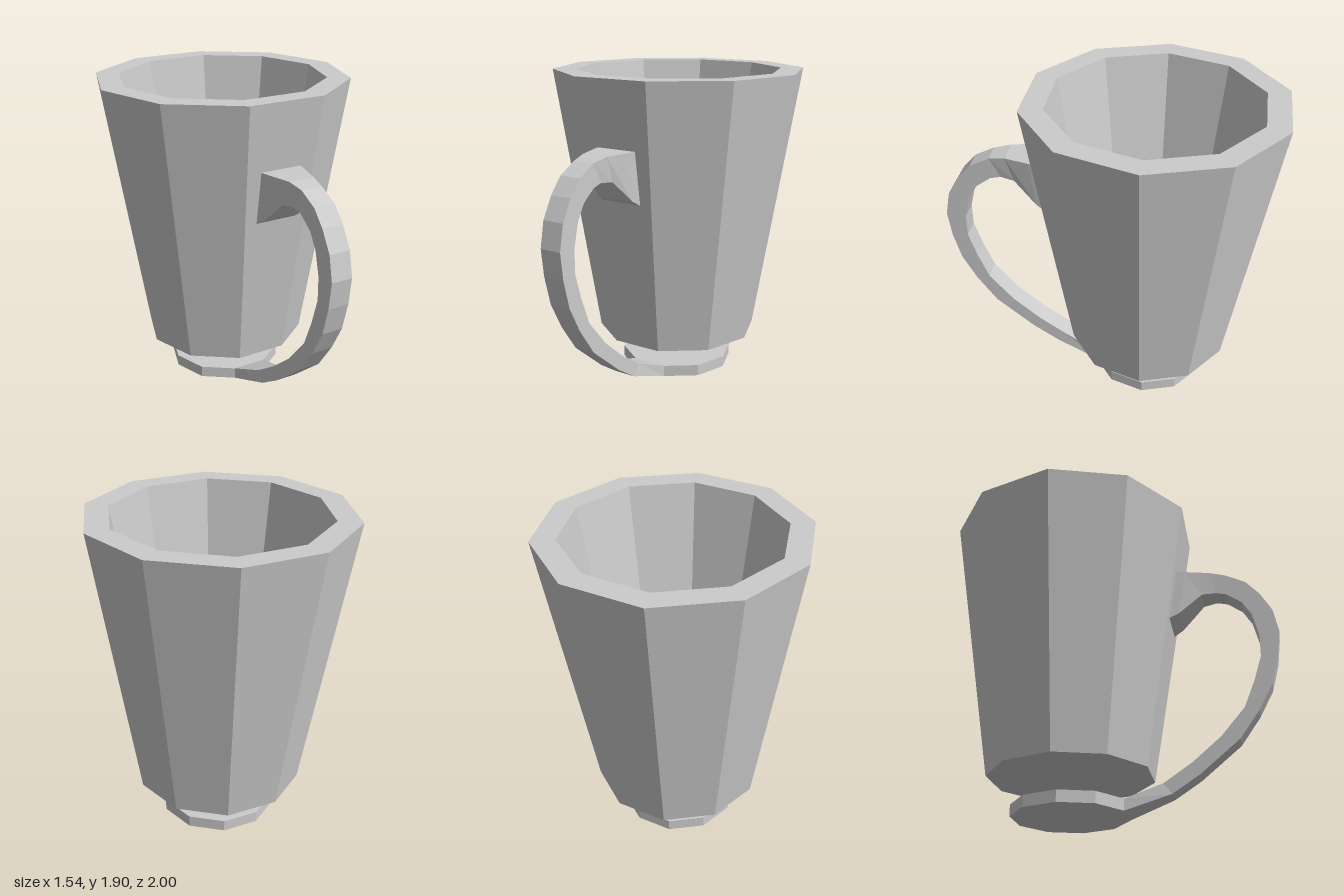
import * as THREE from 'three';

const SIDES = 10;
const CENTRE_Z = -0.272;

const material = new THREE.MeshStandardMaterial({ color: 0xcccccc, flatShading: true });

// Faceted solid of revolution with a flat side facing the front
function turned(name, profile) {
  const points = profile.map(([r, y]) => new THREE.Vector2(r, y));
  const geometry = new THREE.LatheGeometry(points, SIDES, Math.PI / SIDES);
  const mesh = new THREE.Mesh(geometry, material);
  mesh.name = name;
  mesh.position.z = CENTRE_Z;
  return mesh;
}

// Rectangular cross-sections along the handle:
// [outer z, outer y, inner z, inner y, half width]
const HANDLE_SECTIONS = [
  [0.40, 1.50, 0.35, 1.18, 0.128],
  [0.45, 1.50, 0.41, 1.215, 0.118],
  [0.60, 1.50, 0.55, 1.35, 0.08],
  [0.70, 1.48, 0.635, 1.36, 0.065],
  [0.82, 1.42, 0.70, 1.345, 0.065],
  [0.90, 1.33, 0.79, 1.28, 0.065],
  [0.97, 1.21, 0.845, 1.19, 0.065],
  [1.00, 1.06, 0.88, 1.05, 0.065],
  [0.98, 0.90, 0.88, 0.91, 0.065],
  [0.935, 0.73, 0.83, 0.75, 0.065],
  [0.85, 0.57, 0.765, 0.59, 0.065],
  [0.73, 0.40, 0.62, 0.42, 0.065],
  [0.49, 0.20, 0.45, 0.275, 0.065],
  [0.33, 0.095, 0.28, 0.16, 0.065],
  [0.06, 0.00, 0.06, 0.07, 0.108],
];

// Skin the sections with quads
function buildHandle() {
  const rings = HANDLE_SECTIONS.map(([oz, oy, iz, iy, w]) => [
    [w, oy, oz], [-w, oy, oz], [-w, iy, iz], [w, iy, iz],
  ]);
  const positions = [];
  for (let i = 0; i < rings.length - 1; i++) {
    for (let k = 0; k < 4; k++) {
      const n = (k + 1) % 4;
      const a = rings[i][k], b = rings[i][n];
      const c = rings[i + 1][n], d = rings[i + 1][k];
      positions.push(...a, ...b, ...c, ...a, ...c, ...d);
    }
  }
  const geometry = new THREE.BufferGeometry();
  geometry.setAttribute('position', new THREE.Float32BufferAttribute(positions, 3));
  geometry.computeVertexNormals();
  const mesh = new THREE.Mesh(geometry, material);
  mesh.name = 'handle';
  return mesh;
}

export function createModel() {
  const group = new THREE.Group();
  group.name = 'mug';

  // Tapered cup with a thick wall and raised inner floor
  group.add(turned('cup', [
    [0, 0.235], [0.5, 0.235], [0.77, 1.9], [0.63, 1.9], [0.43, 0.67], [0, 0.67],
  ]));

  // Separate foot disc, carried by the lower end of the handle
  group.add(turned('foot', [[0, 0], [0.35, 0], [0.35, 0.07], [0, 0.07]]));

  group.add(buildHandle());
  return group;
}
